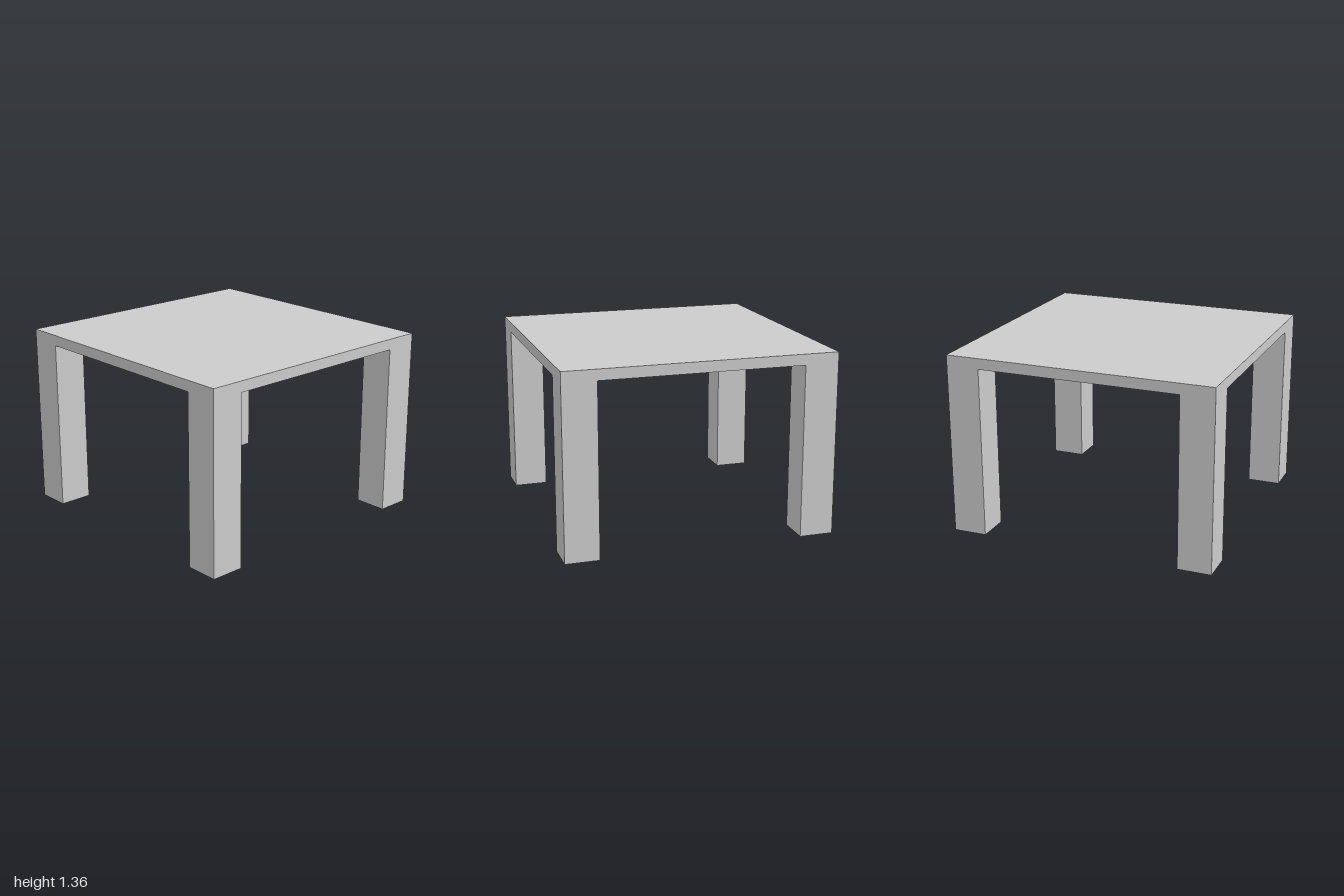
import * as THREE from 'three';

const SIZE = 2, HEIGHT = 1.355, RIM_BOTTOM = 1.275, LEG = 0.25;

// Square outline centred on the origin
function square(PathType, half) {
  const path = new PathType();
  path.moveTo(-half, -half);
  path.lineTo(half, -half);
  path.lineTo(half, half);
  path.lineTo(-half, half);
  path.closePath();
  return path;
}

export function createModel() {
  const table = new THREE.Group();
  table.name = 'table';
  const material = new THREE.MeshStandardMaterial({ color: 0xcccccc, flatShading: true });
  const inner = SIZE - 2 * LEG;

  // Rim: square frame, as wide as the legs, open in the middle
  const rimShape = square(THREE.Shape, SIZE / 2);
  rimShape.holes.push(square(THREE.Path, inner / 2));
  const rimGeometry = new THREE.ExtrudeGeometry(rimShape, {
    depth: HEIGHT - RIM_BOTTOM,
    bevelEnabled: false,
  });
  rimGeometry.rotateX(-Math.PI / 2);
  const rim = new THREE.Mesh(rimGeometry, material);
  rim.name = 'rim';
  rim.position.y = RIM_BOTTOM;
  table.add(rim);

  // Top panel: thin sheet flush with the rim, leaving a recess underneath
  const panelMaterial = material.clone();
  panelMaterial.side = THREE.DoubleSide;
  const panel = new THREE.Mesh(new THREE.PlaneGeometry(inner, inner).rotateX(-Math.PI / 2), panelMaterial);
  panel.name = 'topPanel';
  panel.position.y = HEIGHT;
  table.add(panel);

  // Four square legs, flush with the corners
  const legGeometry = new THREE.BoxGeometry(LEG, RIM_BOTTOM, LEG);
  const offset = (SIZE - LEG) / 2;
  for (const [sideName, x] of [['Left', 1], ['Right', -1]]) {
    for (const [endName, z] of [['front', 1], ['back', -1]]) {
      const leg = new THREE.Mesh(legGeometry, material);
      leg.name = `${endName}${sideName}Leg`;
      leg.position.set(x * offset, RIM_BOTTOM / 2, z * offset);
      table.add(leg);
    }
  }
  return table;
}
